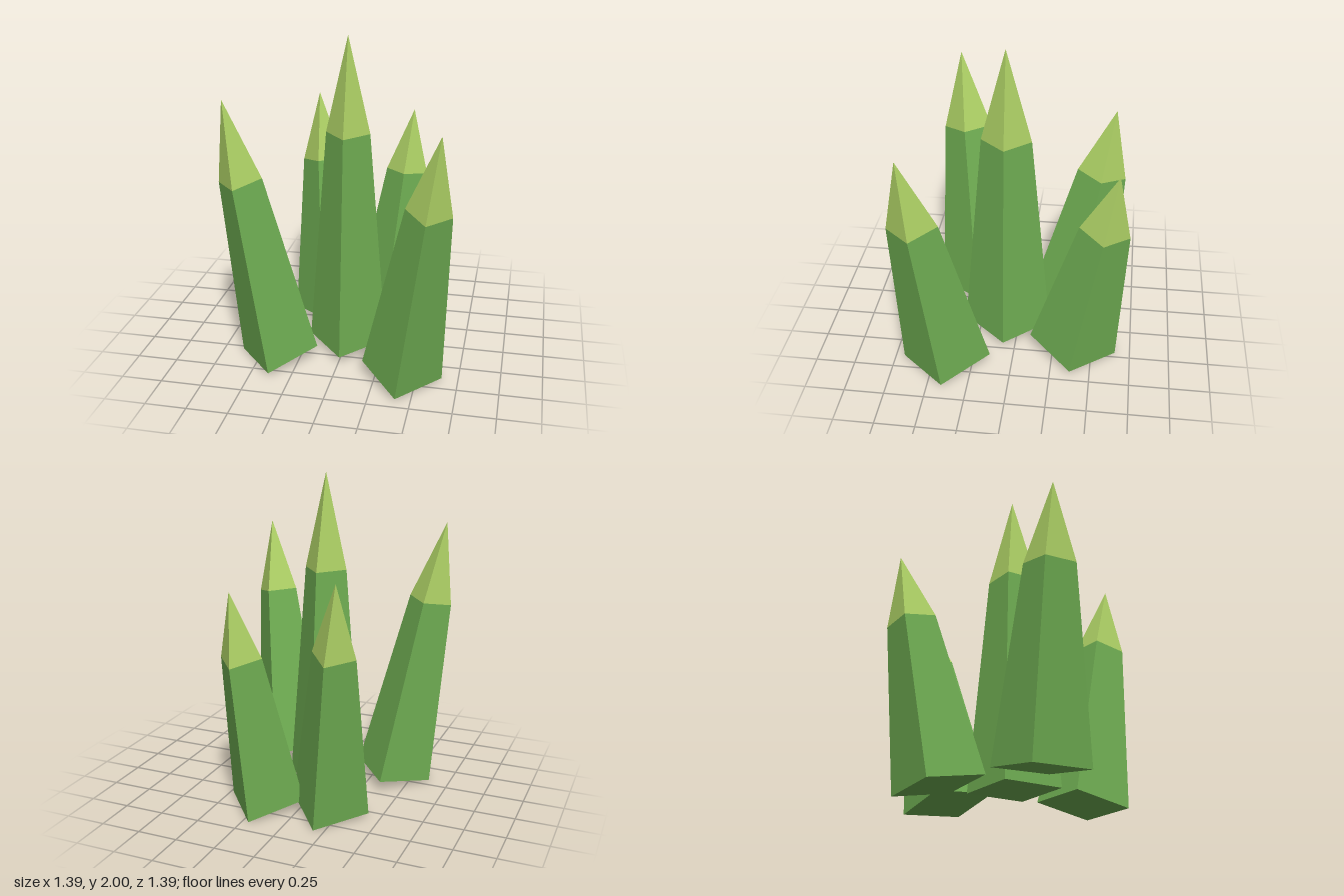
import * as THREE from 'three';

const BASE_Y = 0.045; // height of each spike's base centre
const RX = 0.245;     // base half-diagonal across x
const RZ = 0.28;      // base half-diagonal across z
const SHAFT = 0.7;    // share of the length below the pale tip
const TAPER = 0.55;   // shaft top width relative to its base

export function createModel() {
  const leafGreen = new THREE.MeshStandardMaterial({ color: 0x6fad52, flatShading: true });
  leafGreen.name = 'leafGreen';
  const paleLime = new THREE.MeshStandardMaterial({ color: 0xaccf64, flatShading: true });
  paleLime.name = 'paleLime';

  // Unit-length four-sided shaft and tip, shared by all spikes
  const shaftGeo = new THREE.CylinderGeometry(TAPER, 1, SHAFT, 4).translate(0, SHAFT / 2, 0);
  const tipGeo = new THREE.ConeGeometry(TAPER, 1 - SHAFT, 4, 1, true).translate(0, (1 + SHAFT) / 2, 0);

  // One spike leaning from its base centre towards its point
  function makeSpike(name, baseX, baseZ, tipX, tipY, tipZ) {
    const dx = tipX - baseX, dy = tipY - BASE_Y, dz = tipZ - baseZ;
    const length = Math.hypot(dx, dy, dz);
    const spike = new THREE.Group();
    spike.name = name;
    const shaft = new THREE.Mesh(shaftGeo, leafGreen);
    shaft.name = 'shaft';
    const tip = new THREE.Mesh(tipGeo, paleLime);
    tip.name = 'tip';
    spike.add(shaft, tip);
    spike.scale.set(RX, length, RZ);
    spike.rotation.set(Math.atan2(dz, dy), 0, -Math.asin(dx / length));
    spike.position.set(baseX, BASE_Y, baseZ);
    return spike;
  }

  const model = new THREE.Group();
  model.name = 'spikyPlant';
  model.add(
    makeSpike('centreSpike', 0.01, 0.072, 0.01, 2.0, 0.072),
    makeSpike('frontLeftSpike', 0.41, 0.413, 0.624, 1.585, 0.6),
    makeSpike('frontRightSpike', -0.382, 0.3, -0.643, 1.68, 0.447),
    makeSpike('backLeftSpike', 0.21, -0.378, 0.317, 1.39, -0.617),
    makeSpike('backRightSpike', -0.186, -0.325, -0.312, 1.485, -0.573),
  );
  return model;
}
